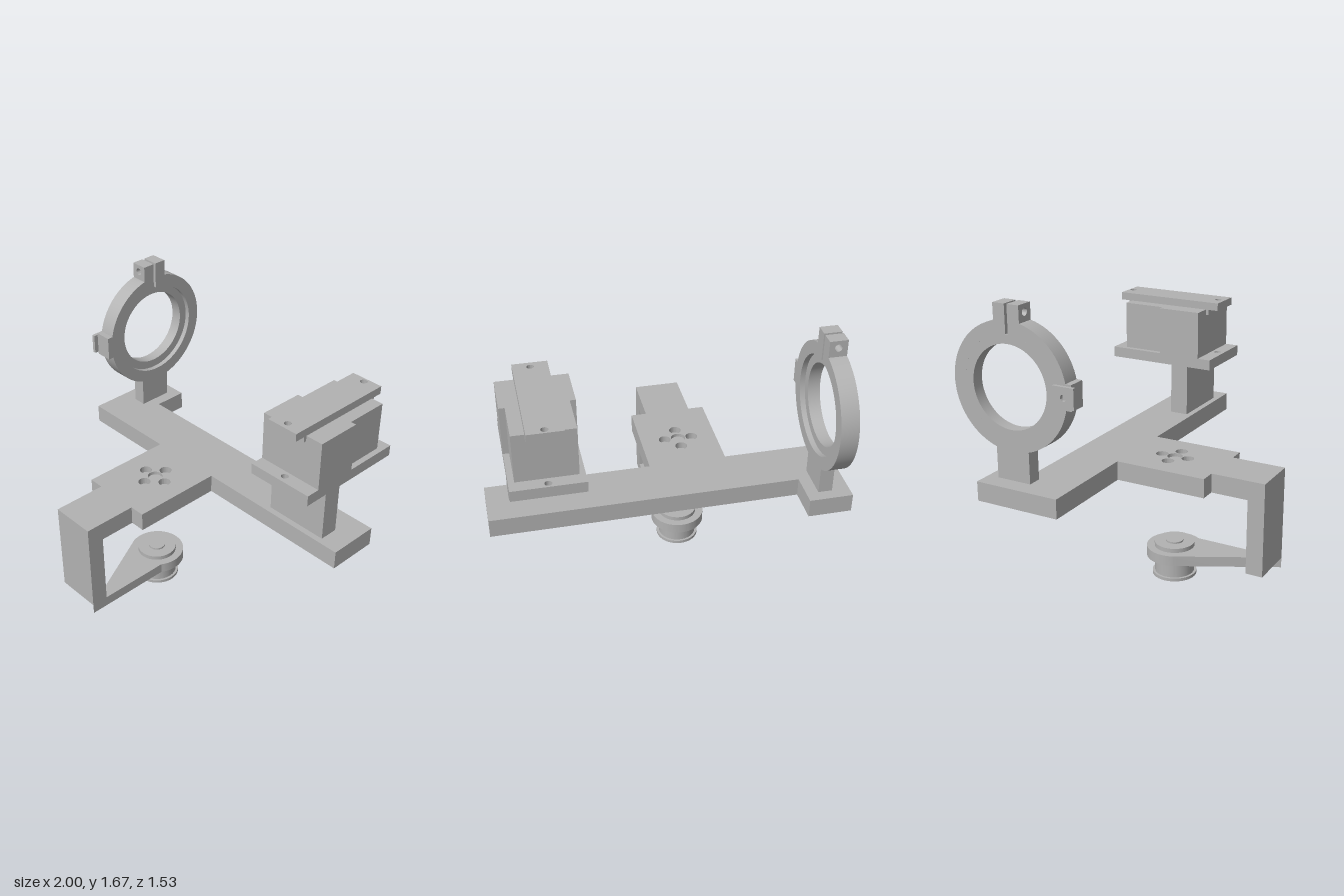
import * as THREE from 'three';
import { toCreasedNormals } from 'three/addons/utils/BufferGeometryUtils.js';

const grey = new THREE.MeshStandardMaterial({ color: 0xb2b2b2 });
grey.name = 'machined grey';

export function createModel() {
  const model = new THREE.Group();
  model.name = 'mountingBracket';

  const add = (name, geo, parent = model) => {
    const mesh = new THREE.Mesh(geo, grey);
    mesh.name = name;
    parent.add(mesh);
    return mesh;
  };
  const group = (name) => {
    const g = new THREE.Group();
    g.name = name;
    model.add(g);
    return g;
  };
  // Box given by its limits on each axis
  const box = (name, [x0, x1], [y0, y1], [z0, z1], parent) => add(name,
    new THREE.BoxGeometry(x1 - x0, y1 - y0, z1 - z0)
      .translate((x0 + x1) / 2, (y0 + y1) / 2, (z0 + z1) / 2), parent);
  const polygon = (pts) => new THREE.Shape(pts.map(([x, y]) => new THREE.Vector2(x, y)));
  const rect = (x0, x1, y0, y1) => polygon([[x0, y0], [x1, y0], [x1, y1], [x0, y1]]);
  const disc = (x, y, r) => new THREE.Shape().absarc(x, y, r, 0, Math.PI * 2, false);
  const drill = (shape, holes) => {
    for (const [x, y, r] of holes) shape.holes.push(new THREE.Path().absarc(x, y, r, 0, Math.PI * 2, true));
    return shape;
  };
  const extrude = (shape, depth) => toCreasedNormals(
    new THREE.ExtrudeGeometry(shape, { depth, bevelEnabled: false, curveSegments: 40 }), 0.5);
  // Shape drawn in (x, z), filling y0..y1
  const slab = (name, shape, y0, y1, parent) =>
    add(name, extrude(shape, y1 - y0).rotateX(Math.PI / 2).translate(0, y1, 0), parent);
  // Shape drawn in (z, y), filling x0..x1
  const sidePlate = (name, shape, x0, x1, parent) =>
    add(name, extrude(shape, x1 - x0).rotateY(-Math.PI / 2).translate(x1, 0, 0), parent);

  // Base plate with pivot and screw holes
  const px = -0.175, pz = 0.16;
  const cross = (d, r) => [0, 1, 2, 3].map((i) => [
    px + d * Math.cos(i * Math.PI / 2), pz + d * Math.sin(i * Math.PI / 2), r]);
  const base = group('base');
  const outline = polygon([
    [-1, -0.58], [-0.75, -0.58], [-0.75, -0.38], [1, -0.38], [1, -0.08], [0.05, -0.08],
    [0.05, 0.455], [-0.04, 0.455], [-0.04, 0.768], [-0.31, 0.768], [-0.31, 0.455],
    [-0.4, 0.455], [-0.4, -0.08], [-1, -0.08]]);
  slab('basePlate', drill(outline, [
    [px, pz, 0.043], ...cross(0.082, 0.035),
    [0.55, -0.17, 0.018], [0.82, -0.17, 0.018], [-0.86, -0.36, 0.018], [-0.86, -0.47, 0.018]]), 0.61, 0.72, base);
  for (const [x, z, r] of cross(0.082, 0.035)) {
    slab('counterboreSeat', drill(disc(x, z, r), [[x, z, 0.019]]), 0.61, 0.68, base);
  }
  slab('pivotPlug', disc(px, pz, 0.043), 0.61, 0.7, base);
  slab('upperWasher', disc(px, pz, 0.115), 0.58, 0.61, base);
  slab('upperPivotPin', disc(px, pz, 0.05), 0.555, 0.58, base);

  // C-shaped arm with a rounded lower end
  const arm = group('arm');
  box('armUpright', [-0.31, -0.04], [0.175, 0.61], [0.67, 0.768], arm);
  const a = Math.acos(0.135 / 0.16);
  const foot = new THREE.Shape();
  foot.moveTo(px - 0.135, 0.768);
  foot.absarc(px, pz, 0.16, Math.PI - a, Math.PI * 2 + a, false);
  foot.lineTo(px + 0.135, 0.768);
  slab('armFoot', foot, 0.115, 0.175, arm);

  // Lower pivot stack
  const pivot = group('lowerPivot');
  slab('pivotWasher', disc(px, pz, 0.115), 0.175, 0.2, pivot);
  slab('pivotPin', disc(px, pz, 0.05), 0.2, 0.21, pivot);
  slab('pivotHub', disc(px, pz, 0.113), 0.018, 0.115, pivot);
  slab('pivotFlange', drill(disc(px, pz, 0.127), [[px, pz, 0.035], ...cross(0.08, 0.018)]), 0, 0.018, pivot);

  // Split clamp ring on its post
  const clamp = group('clampRing');
  const cz = -0.413, cy = 1.235, slot = 0.008, ear = 0.08, earY = 0.34;
  box('ringPost', [-0.9, -0.82], [0.72, 0.93], [-0.515, -0.31], clamp);
  const ring = new THREE.Shape();
  const outer = Math.acos(ear / 0.353), inner = Math.acos(slot / 0.28);
  ring.moveTo(slot, earY);
  ring.lineTo(ear, earY);
  ring.absarc(0, 0, 0.353, outer, Math.PI - outer, true);
  ring.lineTo(-slot, earY);
  ring.absarc(0, 0, 0.28, Math.PI - inner, inner, false);
  sidePlate('ringBody', ring, -0.9, -0.8, clamp).position.set(0, cy, cz);
  sidePlate('ringLip', drill(disc(cz, cy, 0.28), [[cz, cy, 0.23]]), -0.9, -0.83, clamp);
  for (const z0 of [cz - ear, cz + slot]) {
    const tab = drill(rect(-0.9, -0.8, cy + earY, 1.672), [[-0.85, 1.63, 0.021]]);
    add('clampEar', extrude(tab, ear - slot).translate(0, 0, z0), clamp);
  }
  box('sideLug', [-0.9, -0.8], [1.165, 1.305], [-0.11, -0.033], clamp);
  sidePlate('lugPlate', drill(rect(-0.135, -0.008, 1.18, 1.295), [[-0.07, 1.237, 0.018]]), -0.92, -0.9, clamp);

  // Housing on its post
  const housing = group('housing');
  const screws = [[0.682, -0.6, 0.02], [0.682, 0, 0.02]];
  box('housingPost', [0.493, 0.873], [0.72, 1.03], [-0.225, -0.115], housing);
  slab('housingFloor', drill(rect(0.483, 0.883, -0.63, 0.043), screws), 1.03, 1.093, housing);
  slab('housingBody', polygon([
    [0.483, -0.037], [0.483, -0.3], [0.515, -0.3], [0.515, -0.557],
    [0.85, -0.557], [0.85, -0.3], [0.883, -0.3], [0.883, -0.037]]), 1.093, 1.378, housing);
  slab('topStrip', drill(rect(0.585, 0.778, -0.63, 0.043), screws), 1.378, 1.424, housing);
  for (const z of [[-0.037, -0.02], [-0.574, -0.557]]) {
    box('stripLedge', [0.585, 0.778], [1.345, 1.378], z, housing);
  }

  return model;
}
